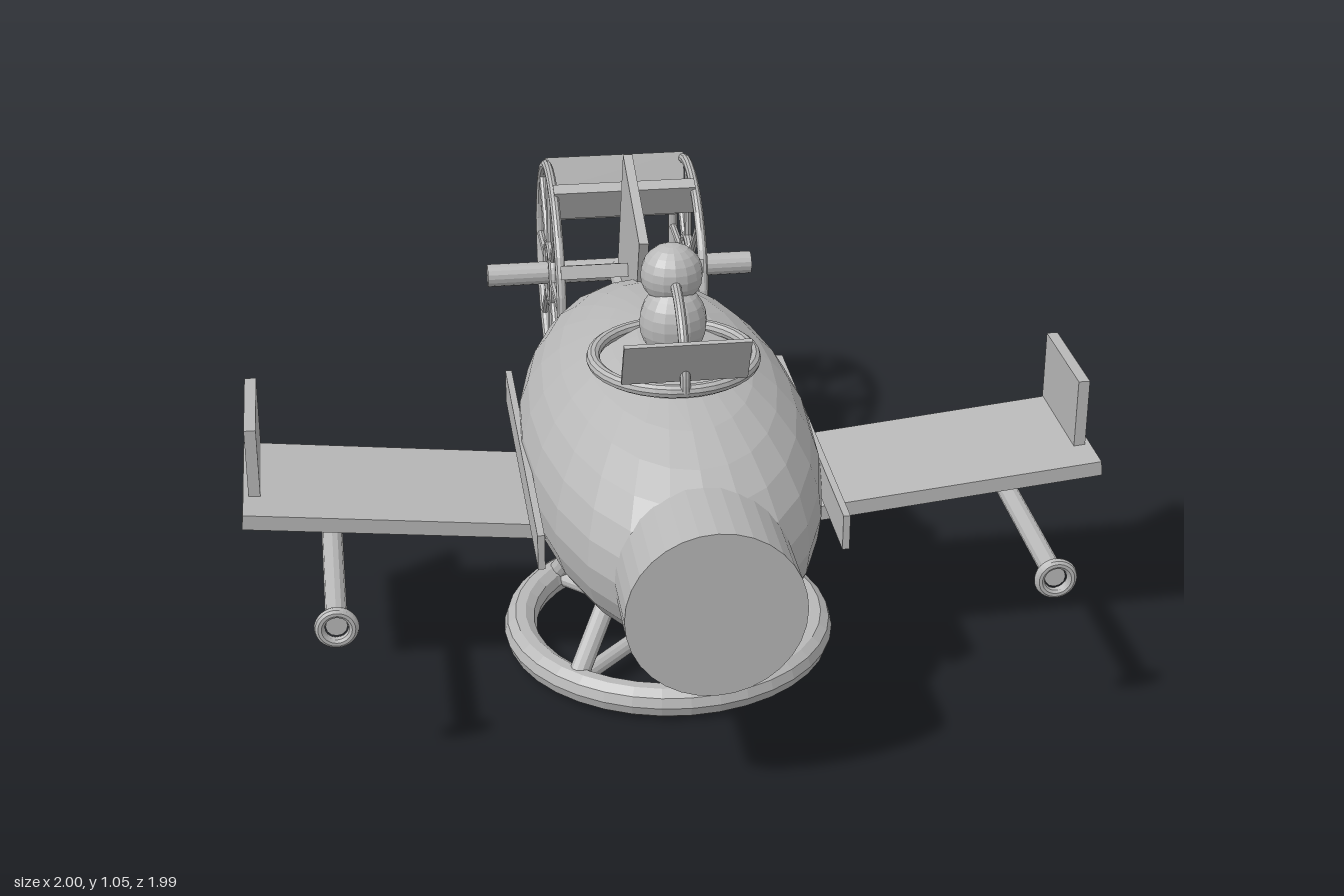
import * as THREE from 'three';

export function createModel() {
  const model = new THREE.Group();
  model.name = 'paddleAirship';
  const grey = new THREE.MeshStandardMaterial({ color: 0xb8b8b8, flatShading: true });
  grey.name = 'plain grey';

  const add = (name, geometry, x = 0, y = 0, z = 0, parent = model) => {
    const mesh = new THREE.Mesh(geometry, grey);
    mesh.name = name;
    mesh.position.set(x, y, z);
    parent.add(mesh);
    return mesh;
  };
  const box = (w, h, d) => new THREE.BoxGeometry(w, h, d);
  const ring = (r, tube, arc = Math.PI * 2) => new THREE.TorusGeometry(r, tube, 10, 36, arc);

  // Round bar between two points
  const bar = (name, from, to, r, parent = model, sides = 12) => {
    const a = new THREE.Vector3(...from), b = new THREE.Vector3(...to);
    const dir = b.clone().sub(a);
    const mesh = add(name, new THREE.CylinderGeometry(r, r, dir.length(), sides), 0, 0, 0, parent);
    mesh.position.copy(a).add(b).multiplyScalar(0.5);
    mesh.quaternion.setFromUnitVectors(new THREE.Vector3(0, 1, 0), dir.normalize());
    return mesh;
  };

  // Hull and blunt nose
  add('hull', new THREE.SphereGeometry(1, 24, 16).scale(0.35, 0.31, 0.75), 0, 0.49, 0.22);
  bar('nose', [0, 0.49, 0.75], [0, 0.49, 1], 0.198, model, 32);

  // Cockpit rim, roll bar and windshield
  add('cockpitRim', ring(0.185, 0.016), 0, 0.79, 0.335).rotation.x = Math.PI / 2;
  add('rollBar', ring(0.19, 0.012, Math.PI), 0, 0.79, 0.335).rotation.y = Math.PI / 2;
  add('windshield', box(0.285, 0.125, 0.01), 0, 0.87, 0.537).rotation.x = 0.45;

  // Pilot
  add('pilotBody', new THREE.SphereGeometry(1, 16, 12).scale(0.078, 0.09, 0.078), 0, 0.875, 0.325);
  add('pilotHead', new THREE.SphereGeometry(0.072, 16, 12), 0, 0.982, 0.3);

  // Tail fin
  add('tailFin', box(0.024, 0.39, 0.34), 0, 0.73, -0.41).rotation.x = 0.347;

  // Wings, winglets, guns and side rails
  for (const s of [1, -1]) {
    const side = s > 0 ? 'left' : 'right';
    add(side + 'Wing', box(0.72, 0.036, 0.37), s * 0.641, 0.457, 0.275).rotation.z = s * 0.107;
    add(side + 'Winglet', box(0.027, 0.23, 0.28), s * 0.971, 0.563, 0.225);
    add(side + 'SideRail', box(0.016, 0.085, 0.86), s * 0.343, 0.494, 0.254);
    bar(side + 'Gun', [s * 0.8, 0.405, 0.198], [s * 0.8, 0.405, 0.79], 0.024);
    add(side + 'GunMuzzle', ring(0.037, 0.012), s * 0.8, 0.405, 0.795);
  }

  // Landing ring with hub, spokes and legs
  const gear = new THREE.Group();
  gear.name = 'landingGear';
  gear.position.z = 0.255;
  model.add(gear);
  add('landingRing', ring(0.36, 0.04), 0, 0.04, 0, gear).rotation.x = Math.PI / 2;
  add('landingHub', new THREE.CylinderGeometry(0.078, 0.078, 0.08, 20), 0, 0.07, 0, gear);
  for (const sx of [1, -1]) {
    for (const sz of [1, -1]) {
      bar('landingSpoke', [0, 0.05, 0], [sx * 0.25, 0.045, sz * 0.25], 0.02, gear);
      bar('landingLeg', [sx * 0.25, 0.05, sz * 0.25], [sx * 0.14, 0.26, sz * 0.14], 0.025, gear);
    }
  }

  // Paddle wheel at the stern
  const wheel = new THREE.Group();
  wheel.name = 'paddleWheel';
  wheel.position.set(0, 0.575, -0.693);
  model.add(wheel);
  bar('axle', [-0.355, 0, 0], [0.355, 0, 0], 0.03, wheel, 16);
  bar('wheelStrut', [0, 0, 0.3], [0, 0, 0], 0.032, wheel);
  for (const x of [0.185, -0.185]) {
    add('wheelRim', ring(0.288, 0.013), x, 0, 0, wheel).rotation.y = Math.PI / 2;
    add('hubRing', ring(0.08, 0.013), x, 0, 0, wheel).rotation.y = Math.PI / 2;
    for (let i = 0; i < 8; i++) {
      const a = (i * Math.PI) / 4;
      bar('wheelSpoke', [x, 0, 0], [x, 0.288 * Math.sin(a), 0.288 * Math.cos(a)], 0.01, wheel, 8);
    }
  }
  for (let i = 0; i < 8; i++) {
    const a = ((i + 0.5) * Math.PI) / 4;
    add('paddle', box(0.37, 0.035, 0.09), 0, 0.26 * Math.sin(a), 0.26 * Math.cos(a), wheel).rotation.x = -a;
  }
  return model;
}
